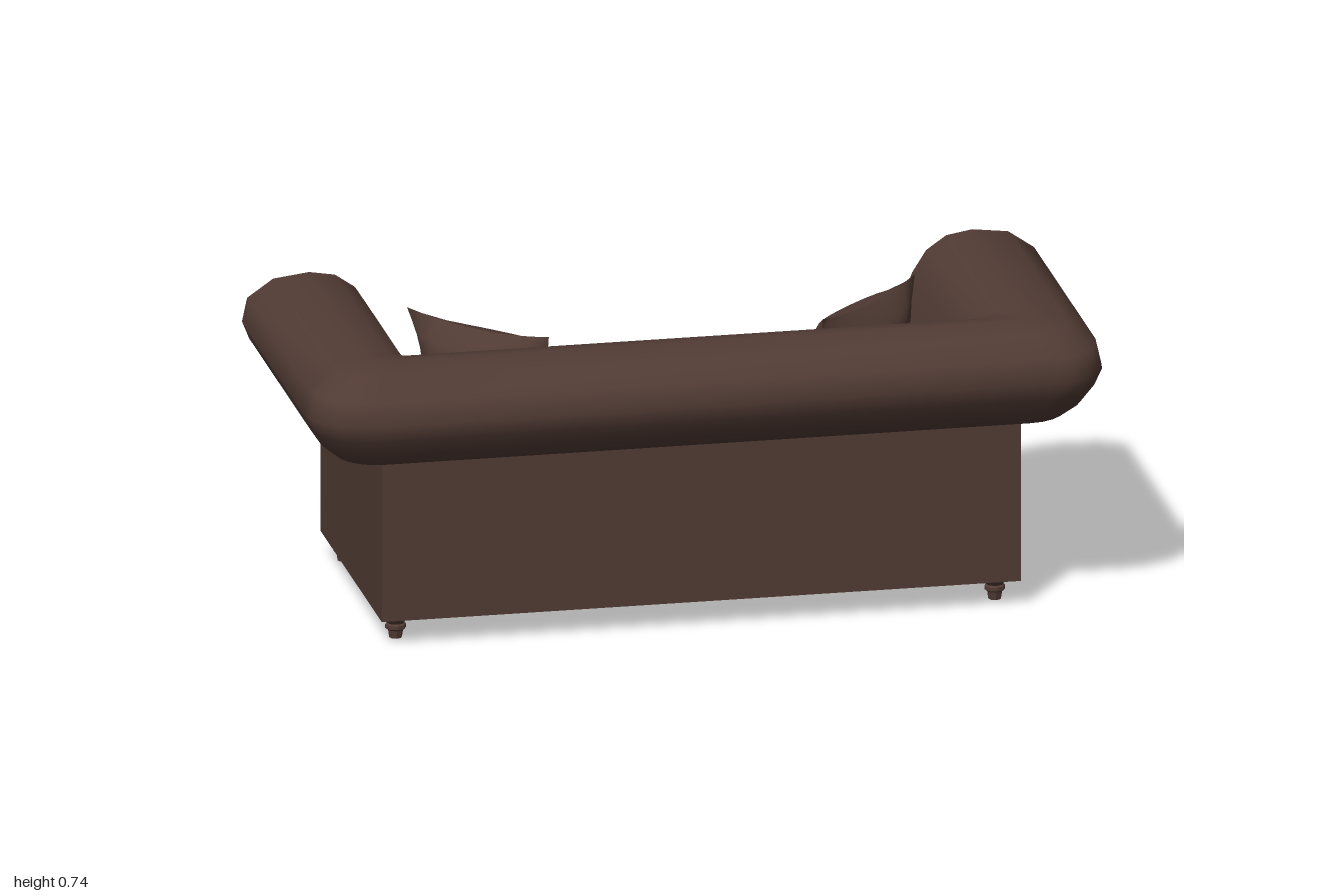
import * as THREE from 'three';
import { mergeGeometries } from 'three/addons/utils/BufferGeometryUtils.js';
import { RoundedBoxGeometry } from 'three/addons/geometries/RoundedBoxGeometry.js';

const leather = new THREE.MeshStandardMaterial({ color: 0x513b34, side: THREE.DoubleSide });
leather.name = 'brownLeather';

// Cross-section of the rolled arm: from under the roll, over the top, down to the seat
const ROLL = [
  [0.80, 0.48], [0.86, 0.48], [0.91, 0.495], [0.95, 0.53], [0.98, 0.575], [0.998, 0.62], [0.985, 0.68],
  [0.92, 0.725], [0.83, 0.736], [0.765, 0.725], [0.715, 0.69], [0.68, 0.635], [0.642, 0.53],
  [0.615, 0.43], [0.60, 0.33], [0.595, 0.2],
];

function add(group, name, geometry, x = 0, y = 0, z = 0) {
  const mesh = new THREE.Mesh(geometry, leather);
  mesh.name = name;
  mesh.position.set(x, y, z);
  group.add(mesh);
  return mesh;
}

// Box given by its minimum and maximum corners
function boxBetween(group, name, a, b) {
  const size = a.map((v, i) => b[i] - v);
  return add(group, name, new THREE.BoxGeometry(...size), ...a.map((v, i) => (v + b[i]) / 2));
}

// Sweep the roll around the two arms and the back, with rounded corners
function rollGeometry() {
  const pos = [], index = [], steps = 5, front = -0.43;
  for (const [o, y] of ROLL) {
    const r = 0.04 + Math.abs(o - 0.8) * (o > 0.8 ? 0.55 : 0.3);
    const half = [[o, front]];
    for (let i = 0; i <= steps; i++) {
      const a = (i / steps) * Math.PI / 2;
      half.push([o - r + r * Math.cos(a), o - 0.54 - r + r * Math.sin(a)]);
    }
    const path = [...half, ...half.map(([x, z]) => [-x, z]).reverse()];
    for (const [x, z] of path) pos.push(x, y, z);
  }
  const n = 2 * (steps + 2);
  for (let j = 0; j < ROLL.length - 1; j++) {
    for (let i = 0; i < n - 1; i++) {
      const p = j * n + i;
      index.push(p, p + n, p + 1, p + 1, p + n, p + n + 1);
    }
  }
  const g = new THREE.BufferGeometry();
  g.setAttribute('position', new THREE.Float32BufferAttribute(pos, 3));
  g.setIndex(index);
  g.computeVertexNormals();
  return g;
}

function extrude(points, side, depth, bevel) {
  const shape = new THREE.Shape(points.map(([x, y]) => new THREE.Vector2(x * side, y)));
  return new THREE.ExtrudeGeometry(shape, {
    depth, bevelEnabled: bevel > 0, bevelSize: bevel * 0.75, bevelThickness: bevel,
    bevelOffset: -bevel * 0.75, bevelSegments: 1,
  });
}

// Square scatter cushion: pinched edges, pointed corners, puffed middle
function pillowGeometry(w, h, t) {
  const faces = [1, -1].map((s) => {
    const g = new THREE.PlaneGeometry(2, 2, 10, 10);
    if (s < 0) g.rotateY(Math.PI);
    const p = g.attributes.position;
    for (let i = 0; i < p.count; i++) {
      const u = p.getX(i), v = p.getY(i);
      const a = Math.max(0, 1 - u * u), b = Math.max(0, 1 - v * v);
      p.setXYZ(i, u * w * (1 - 0.12 * b), v * h * (1 - 0.12 * a), s * t * Math.pow(a * b, 0.5));
    }
    g.computeVertexNormals();
    return g;
  });
  return mergeGeometries(faces);
}

export function createModel() {
  const sofa = new THREE.Group();
  sofa.name = 'sofa';

  // Base and outer walls
  boxBetween(sofa, 'baseRail', [-0.8, 0.065, -0.445], [0.8, 0.175, 0.295]);
  boxBetween(sofa, 'backWall', [-0.8, 0.175, 0.195], [0.8, 0.5, 0.295]);

  // Rolled arms and back
  add(sofa, 'rolledArmsAndBack', rollGeometry());

  // Seat
  boxBetween(sofa, 'seatDeck', [-0.7, 0.175, -0.43], [0.7, 0.235, 0.15]);
  add(sofa, 'seatCushion', new RoundedBoxGeometry(1.24, 0.1, 0.6, 3, 0.03), 0, 0.273, -0.151);

  // Arm end outline, set in slightly from the roll
  const inset = ROLL.slice(1, -1).map(([x, y]) => [0.8 + (x - 0.8) * 0.92, 0.5 + (y - 0.5) * 0.92]);
  const panel = [
    [0.7, 0.17], [0.8, 0.17], [0.8, 0.33], [0.808, 0.41], [0.825, 0.48], ...inset, [0.62, 0.245], [0.7, 0.245],
  ];
  const band = [
    ...ROLL.slice(3, -1), [0.605, 0.24], [0.715, 0.24], [0.72, 0.36], [0.745, 0.48], [0.785, 0.58],
    [0.83, 0.63], [0.875, 0.635], [0.905, 0.61], [0.90, 0.575],
  ];
  const foot = [
    [0, 0], [0.016, 0], [0.019, 0.02], [0.026, 0.025], [0.026, 0.034], [0.021, 0.038], [0.031, 0.05], [0.031, 0.066],
  ].map(([x, y]) => new THREE.Vector2(x, y));

  for (const side of [1, -1]) {
    const label = side > 0 ? 'left' : 'right';
    const wall = boxBetween(sofa, label + 'ArmWall', [0.7, 0.175, -0.435], [0.8, 0.5, 0.2]);
    wall.position.x *= side;

    // Arm end: closing cap, panel and raised scroll trim
    add(sofa, label + 'RollCap', extrude([...ROLL, [0.8, 0.2]], side, 0.01, 0), 0, 0, -0.432);
    add(sofa, label + 'ArmPanel', extrude(panel, side, 0.02, 0), 0, 0, -0.445);
    add(sofa, label + 'ScrollTrim', extrude(band, side, 0.012, 0.024), 0, 0, -0.437);

    // Turned feet
    for (const z of [0.22, -0.4]) {
      const g = new THREE.LatheGeometry(foot, 8).toNonIndexed();
      g.computeVertexNormals();
      add(sofa, label + 'Foot', g, side * 0.75, 0, z);
    }

    // Scatter cushion leaning into the corner
    const pillow = add(sofa, label + 'Pillow', pillowGeometry(0.21, 0.187, 0.095), side * 0.455, 0.53, -0.075);
    pillow.rotation.order = 'YXZ';
    pillow.rotation.set(-0.26, Math.PI + side * 0.8, 0);
  }
  return sofa;
}
